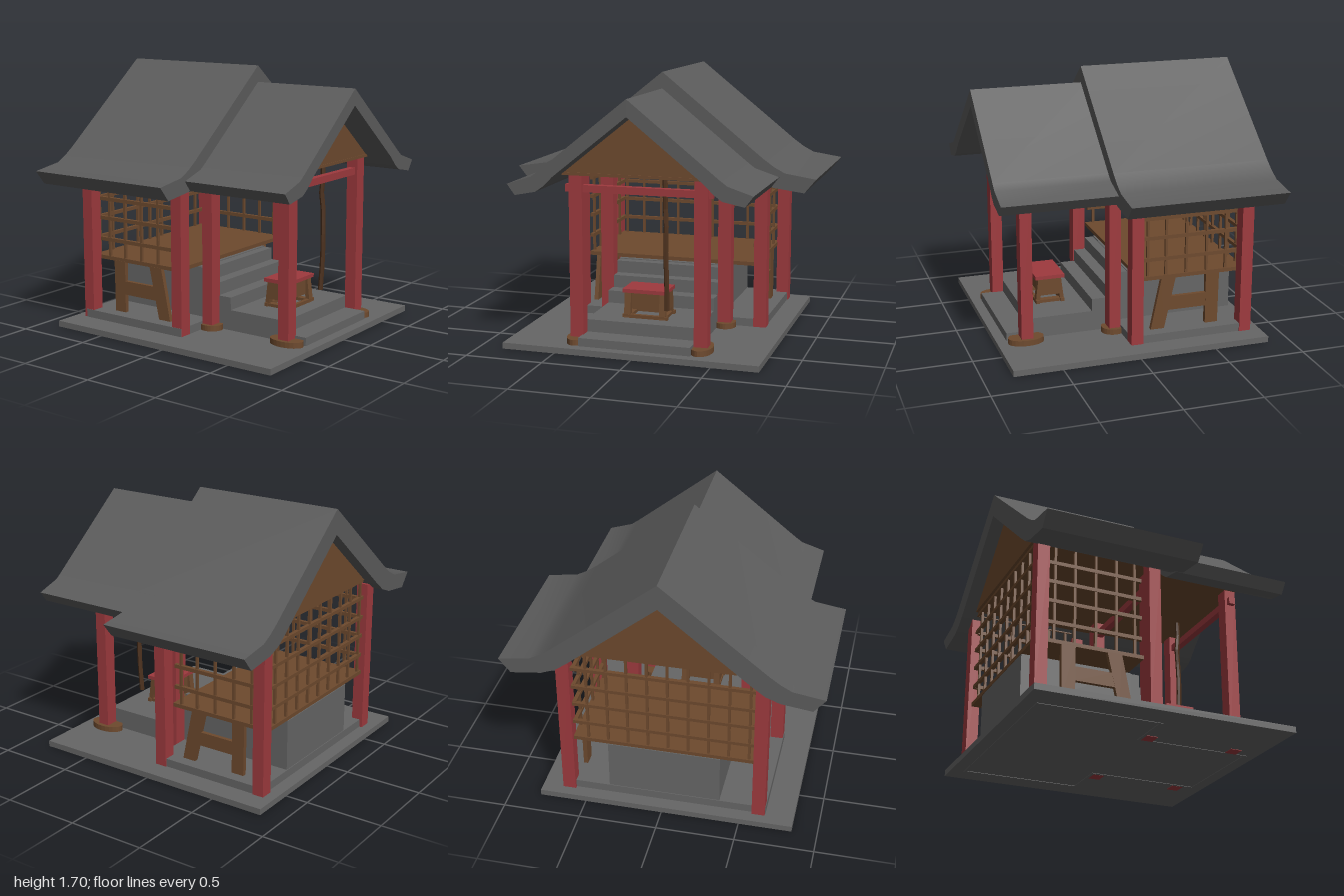
import * as THREE from 'three';
import { toCreasedNormals } from 'three/addons/utils/BufferGeometryUtils.js';

const mat = (color, flatShading = true) => new THREE.MeshStandardMaterial({ color, flatShading });

export function createModel() {
  const root = new THREE.Group();
  const stone = mat(0x666666), tile = mat(0x5c5c5c, false), red = mat(0x9e3a3e);
  const wood = mat(0x6e4a2e), ropeMat = mat(0x4f331f);

  const group = (name) => {
    const g = new THREE.Group();
    g.name = name;
    root.add(g);
    return g;
  };
  const add = (name, geo, material, parent = root) => {
    const m = new THREE.Mesh(geo, material);
    m.name = name;
    parent.add(m);
    return m;
  };
  // Box given by its two extreme corners
  const box = (name, x0, x1, y0, y1, z0, z1, material, parent) => {
    const g = new THREE.BoxGeometry(x1 - x0, y1 - y0, z1 - z0);
    g.translate((x0 + x1) / 2, (y0 + y1) / 2, (z0 + z1) / 2);
    return add(name, g, material, parent);
  };
  const vecs = (pts) => pts.map(([a, b]) => new THREE.Vector2(a, b));
  const poly = (pts) => new THREE.Shape(vecs(pts));
  // Symmetric z-y outline swept from x0 to x1
  const sweepX = (name, shape, x0, x1, material) => {
    const g = new THREE.ExtrudeGeometry(shape, { depth: x1 - x0, bevelEnabled: false });
    g.rotateY(Math.PI / 2).translate(x0, 0, 0);
    return add(name, toCreasedNormals(g, 0.5), material);
  };
  // x-y outline with a thickness centred on z
  const plateZ = (name, shape, z, t, material, parent) => {
    const g = new THREE.ExtrudeGeometry(shape, { depth: t, bevelEnabled: false });
    g.translate(0, 0, z - t / 2);
    return add(name, g, material, parent);
  };

  // Ground slab, hall plinth and steps up to the hall
  box('groundSlab', -0.855, 0.815, 0.003, 0.042, -0.8, 0.84, stone);
  box('hallPlinth', -0.77, 0.02, 0.042, 0.095, -0.66, 0.66, stone);
  box('hallCore', -0.765, -0.05, 0.095, 0.425, -0.36, 0.36, stone);
  [[0.75, 0.095], [0.6, 0.175], [0.185, 0.257], [0.09, 0.34], [0.01, 0.42]].forEach(([x, y], i) =>
    box('step' + (i + 1), -0.06, x, 0.042, y, -0.36, 0.36, stone));

  // Narrow footing strip under the slab, following plinth and steps
  const footprint = (d) => [[-0.77 + d, -0.66 + d], [0.02 - d, -0.66 + d], [0.02 - d, -0.36 + d], [0.75 - d, -0.36 + d],
    [0.75 - d, 0.36 - d], [0.02 - d, 0.36 - d], [0.02 - d, 0.66 - d], [-0.77 + d, 0.66 - d]];
  const strip = poly(footprint(0));
  strip.holes.push(new THREE.Path(vecs(footprint(0.02))));
  const stripGeo = new THREE.ExtrudeGeometry(strip, { depth: 0.01, bevelEnabled: false });
  add('footingStrip', stripGeo.rotateX(-Math.PI / 2), stone);

  // Hall floor boards
  box('hallFloor', -0.765, -0.06, 0.43, 0.455, -0.585, 0.575, wood);

  for (const s of [1, -1]) {
    // Hall pillars
    const hz = s * 0.62 - 0.005;
    for (const x of [-0.75, -0.0175])
      box('hallPillar', x - 0.0385, x + 0.0385, 0.042, 1.06, hz - 0.042, hz + 0.042, red);
    // Porch pillars on flat oval feet
    const pz = s * 0.4 - 0.005;
    for (const [x, r] of [[0.635, 0.115], [0.058, 0.077]]) {
      box('porchPillar', x - 0.038, x + 0.038, 0, 1.12, pz - 0.043, pz + 0.043, red);
      const foot = add('pillarFoot', new THREE.CylinderGeometry(1, 1, 0.036, 24), wood);
      foot.scale.set(r, 1, Math.min(r, 0.07));
      foot.position.set(x, 0.06, pz);
    }

    // Side trestle: one upright leg, one slanted leg and a crossbar
    const trestle = group('sideTrestle');
    const z = s * 0.567 - 0.004;
    plateZ('uprightLeg', poly([[-0.59, 0.095], [-0.505, 0.095], [-0.505, 0.435], [-0.595, 0.435]]), z, 0.028, wood, trestle);
    plateZ('slantedLeg', poly([[-0.225, 0.095], [-0.135, 0.095], [-0.205, 0.435], [-0.3, 0.435]]), z, 0.028, wood, trestle);
    plateZ('crossbar', poly([[-0.506, 0.215], [-0.249, 0.215], [-0.268, 0.305], [-0.506, 0.305]]), z, 0.026, wood, trestle);

    // Lattice on the long sides
    const lattice = group('sideLattice');
    for (const x of [-0.64, -0.51, -0.373, -0.237, -0.115])
      box('upright', x - 0.008, x + 0.008, 0.45, 1.1, z - 0.008, z + 0.008, wood, lattice);
    for (const y of [0.565, 0.705, 0.833, 0.96, 1.09])
      box('rail', -0.75, -0.07, y - 0.012, y + 0.012, z - 0.012, z + 0.012, wood, lattice);
  }

  // Porch cross beams, joining the pillars at front and back of the porch
  for (const x of [0.635, 0.058])
    box('porchBeam', x - 0.022, x + 0.022, 0.995, 1.04, -0.472, 0.468, red);

  // Lattice on the closed end of the hall
  const endLattice = group('endLattice');
  for (let i = 0; i < 9; i++) {
    const z = 0.54 - i * 0.1285;
    box('upright', -0.758, -0.742, 0.45, 1.1, z - 0.008, z + 0.008, wood, endLattice);
  }
  for (const y of [0.567, 0.703, 0.833, 0.968, 1.09])
    box('rail', -0.762, -0.738, y - 0.011, y + 0.011, -0.585, 0.58, wood, endLattice);

  // Roofs: straight slopes that flare outward at the eaves
  const roofShape = (top, under) => {
    const right = [...top, ...under];
    const left = right.filter(([z]) => z > 0).map(([z, y]) => [-z, y]).reverse();
    return poly([...right, ...left]);
  };
  const mainTop = [[0, 1.7], [0.66, 1.172], [0.73, 1.122], [0.8, 1.085], [0.998, 1.055]];
  const mainUnder = [[0.925, 0.965], [0.73, 0.99], [0.64, 1.025], [0.56, 1.085], [0, 1.54]];
  sweepX('mainRoof', roofShape(mainTop, mainUnder), -0.865, 0.142, tile);
  const porchTop = [[0, 1.595], [0.56, 1.147], [0.61, 1.11], [0.765, 1.06]];
  const porchUnder = [[0.715, 0.993], [0.58, 1.02], [0.53, 1.055], [0.47, 1.115], [0, 1.49]];
  sweepX('porchRoof', roofShape(porchTop, porchUnder), 0.1, 0.858, tile);

  // Wooden gables with flat ceilings
  sweepX('mainGable', poly([[-0.56, 1.1], [0.56, 1.1], [0, 1.55]]), -0.78, 0.05, wood);
  sweepX('porchGable', poly([[-0.48, 1.115], [0.48, 1.115], [0, 1.5]]), 0.04, 0.675, wood);
  box('porchCeiling', 0.04, 0.68, 1.1, 1.118, -0.48, 0.48, wood);

  // Offering box: flared end frames, inner chest and red lid
  const offering = group('offeringBox');
  const frame = poly([[0.302, 0.175], [0.495, 0.175], [0.475, 0.337], [0.322, 0.337]]);
  frame.holes.push(new THREE.Path(vecs([[0.33, 0.195], [0.335, 0.226], [0.46, 0.226], [0.465, 0.195]])));
  for (const s of [1, -1]) plateZ('endFrame', frame, 0.01 + s * 0.115, 0.042, wood, offering);
  box('chest', 0.335, 0.462, 0.226, 0.337, -0.1, 0.12, wood, offering);
  for (const x of [0.315, 0.482])
    box('footRail', x - 0.012, x + 0.012, 0.175, 0.197, -0.14, 0.155, wood, offering);
  box('lid', 0.3, 0.495, 0.337, 0.361, -0.132, 0.155, red, offering);

  // Hanging bell rope
  const path = new THREE.CatmullRomCurve3([
    [0.535, 0.255, -0.15], [0.547, 0.45, -0.152], [0.552, 0.62, -0.148],
    [0.548, 0.8, -0.15], [0.54, 0.9, -0.143], [0.55, 1.0, -0.145], [0.545, 1.11, -0.142],
  ].map((p) => new THREE.Vector3(...p)));
  add('bellRope', new THREE.TubeGeometry(path, 16, 0.016, 6), ropeMat);
  const ropeEnd = add('ropeEnd', new THREE.CylinderGeometry(0.016, 0.016, 0.01, 6), ropeMat);
  ropeEnd.position.set(0.535, 0.258, -0.15);

  return root;
}
